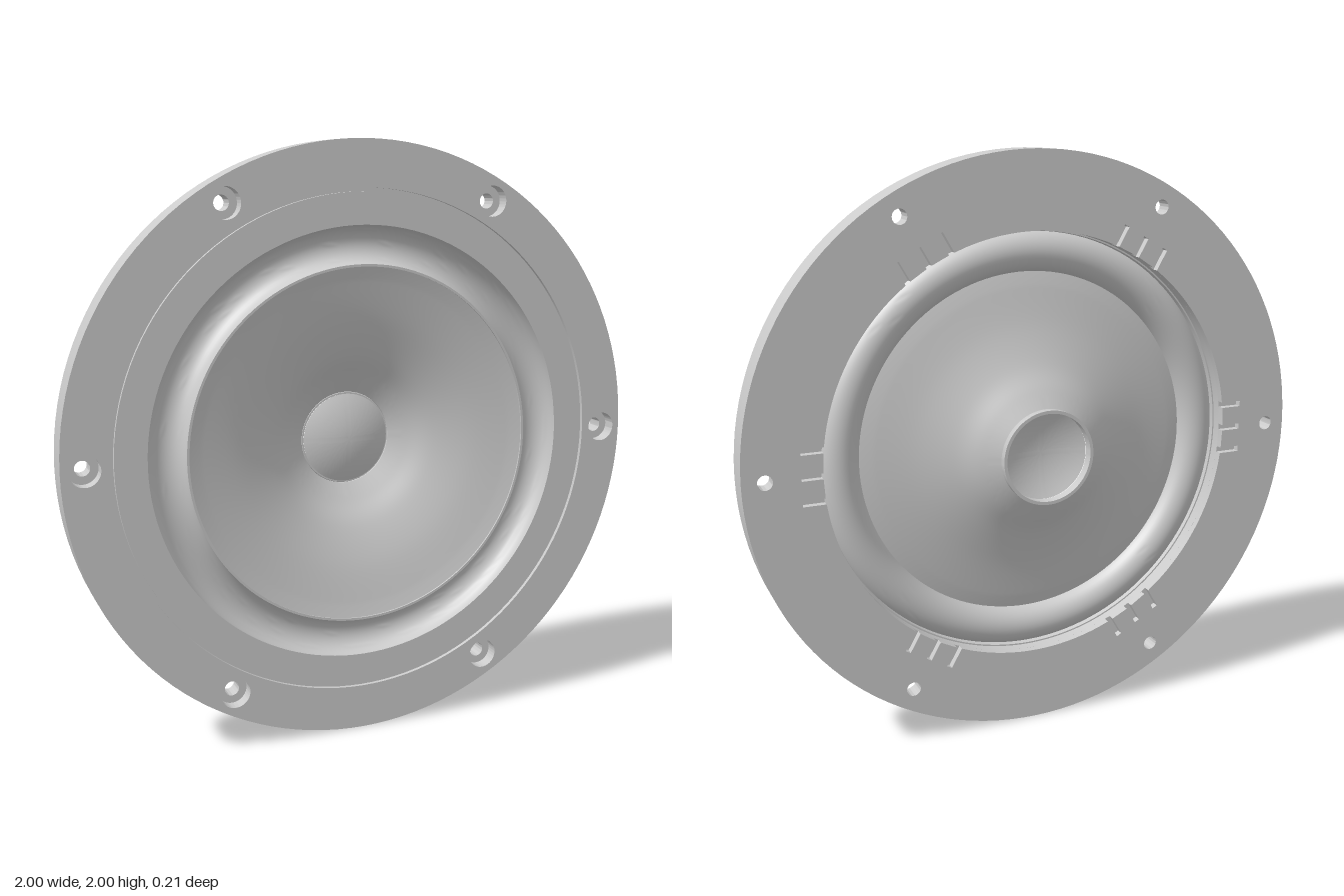
import * as THREE from 'three';
import { toCreasedNormals } from 'three/addons/utils/BufferGeometryUtils.js';

const SEG = 128;
const FRONT = 0.105;
const SCREW_R = 0.925;

export function createModel() {
  const group = new THREE.Group();
  group.name = 'speakerDriver';
  const mat = new THREE.MeshStandardMaterial({ color: 0xcccccc, side: THREE.DoubleSide });

  const add = (name, geo, parent = group) => {
    const mesh = new THREE.Mesh(toCreasedNormals(geo, 0.5), mat);
    mesh.name = name;
    mesh.position.y = 1;
    parent.add(mesh);
  };
  // Profile of [radius, z] pairs turned around the z axis
  const turn = (name, pts) => {
    const geo = new THREE.LatheGeometry(pts.map(p => new THREE.Vector2(p[0], p[1])), SEG);
    add(name, geo.rotateX(Math.PI / 2));
  };
  const circle = (x, y, r) => new THREE.Path().absarc(x, y, r, 0, Math.PI * 2, true);

  // Rear opening with three parallel notches beside each screw
  const notchedOpening = () => {
    const pts = [], r = 0.74, half = 0.01;
    for (let k = 0; k < 6; k++) {
      const a = k * Math.PI / 3;
      const put = (x, y) => pts.push(new THREE.Vector2(
        x * Math.cos(a) - y * Math.sin(a), x * Math.sin(a) + y * Math.cos(a)));
      for (const o of [-0.085, 0, 0.085]) {
        const lo = o - half, hi = o + half;
        put(Math.sqrt(r * r - lo * lo), lo);
        put(0.81, lo);
        put(0.81, hi);
        put(Math.sqrt(r * r - hi * hi), hi);
      }
      for (let i = 1; i < 18; i++) {
        const t = 0.14 + (Math.PI / 3 - 0.28) * i / 18;
        put(r * Math.cos(t), r * Math.sin(t));
      }
    }
    return new THREE.Path(pts);
  };

  // Flange, stacked in slices: notched back, plain middle, counterbored front
  const flange = new THREE.Group();
  flange.name = 'flange';
  group.add(flange);
  const slice = (name, z0, z1, opening, screwR) => {
    const shape = new THREE.Shape().absarc(0, 0, 1, 0, Math.PI * 2, false);
    shape.holes.push(opening);
    for (let k = 0; k < 6; k++) {
      const a = k * Math.PI / 3;
      shape.holes.push(circle(SCREW_R * Math.cos(a), SCREW_R * Math.sin(a), screwR));
    }
    const geo = new THREE.ExtrudeGeometry(shape, { depth: z1 - z0, bevelEnabled: false, curveSegments: SEG / 2 });
    add(name, geo.translate(0, 0, z0), flange);
  };
  slice('flangeBack', 0, 0.025, notchedOpening(), 0.025);
  slice('flangeMiddle', 0.025, 0.06, circle(0, 0, 0.74), 0.025);
  slice('flangeFront', 0.06, FRONT, circle(0, 0, 0.847), 0.051);

  // Clamping ring with the thin groove around it
  turn('clampRing', [
    [0.735, 0.06], [0.847, 0.06], [0.847, 0.092], [0.835, 0.092],
    [0.835, FRONT], [0.73, FRONT], [0.735, 0.06],
  ]);

  // Half-roll surround, hollow towards the front
  const roll = [];
  const N = 20, mid = 0.6675;
  for (let i = 0; i <= N; i++) {
    const a = Math.PI + Math.PI * i / N;
    roll.push([mid + 0.0705 * Math.cos(a), FRONT + 0.0705 * Math.sin(a)]);
  }
  for (let i = 0; i <= N; i++) {
    const a = -Math.PI * i / N;
    roll.push([mid + 0.0625 * Math.cos(a), FRONT + 0.0625 * Math.sin(a)]);
  }
  roll.push(roll[0]);
  turn('surround', roll);

  // Flared cone with a glue lip at its rim
  const curve = new THREE.SplineCurve([
    [0.16, -0.08], [0.22, -0.046], [0.3, 0], [0.42, 0.044], [0.56, 0.076],
  ].map(p => new THREE.Vector2(...p))).getPoints(24).map(p => [p.x, p.y]);
  const back = [...curve, [0.602, 0.088]];
  const front = back.map(([r, z]) => [r, z + 0.012]).reverse();
  turn('cone', [...back, ...front, back[0]]);

  // Voice coil former behind the cone
  turn('coilFormer', [
    [0.152, -0.105], [0.163, -0.105], [0.163, -0.08], [0.158, -0.07],
    [0.152, -0.07], [0.152, -0.105],
  ]);

  // Shallow domed dust cap
  const cap = [];
  for (let i = 0; i <= 14; i++) {
    const r = 0.153 * (1 - i / 14);
    cap.push([r, -0.066 + 0.035 * (1 - (r / 0.153) ** 2)]);
  }
  turn('dustCap', cap);

  return group;
}
